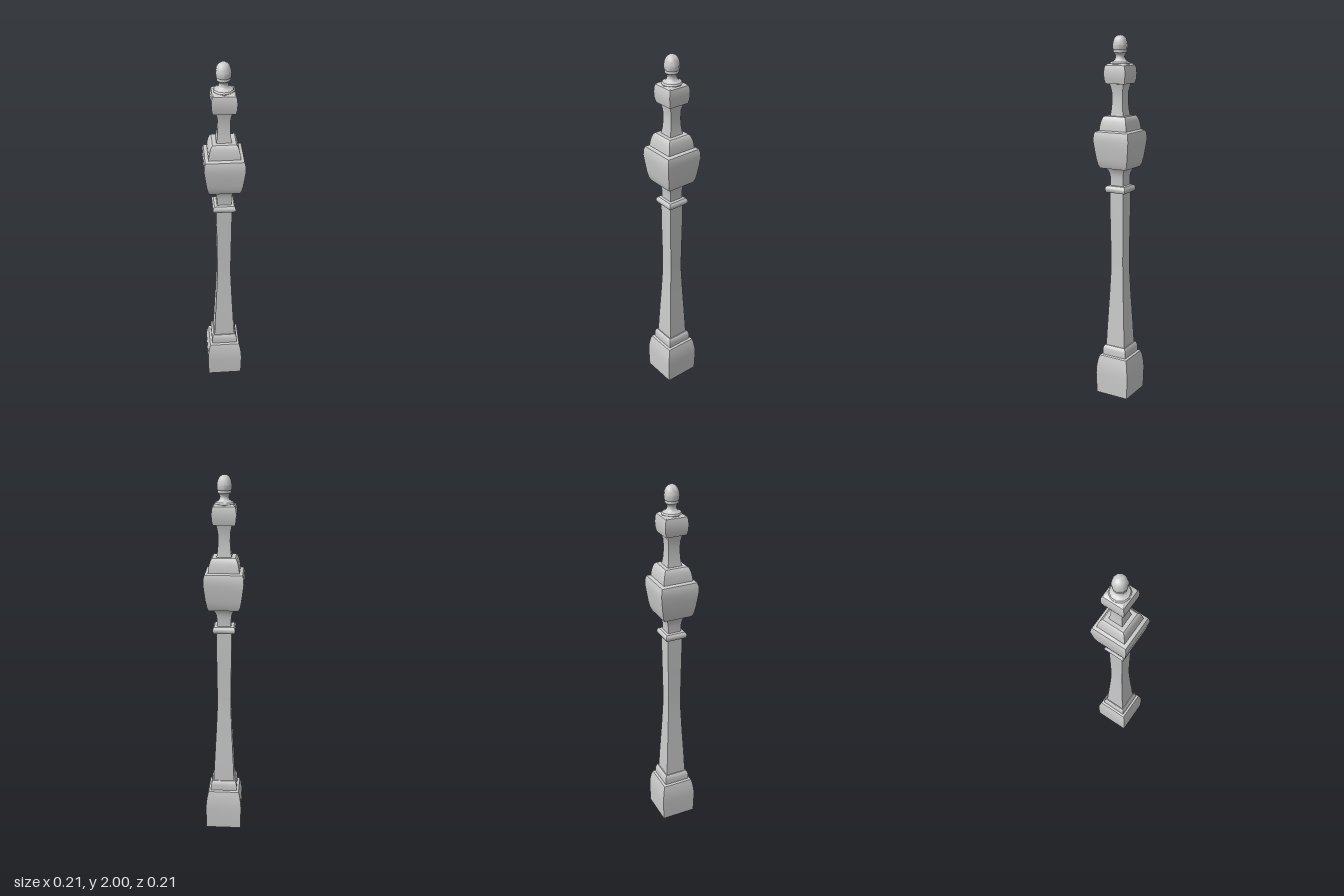
import * as THREE from 'three';
import { toCreasedNormals } from 'three/addons/utils/BufferGeometryUtils.js';

const material = new THREE.MeshStandardMaterial({ color: 0xcccccc, side: THREE.DoubleSide });

// Turns a profile of [half width, height] pairs, bottom to top
function turned(name, profile, sides, scale, phase) {
  const points = profile.map(([r, y]) => new THREE.Vector2(r * scale, y));
  const geometry = toCreasedNormals(new THREE.LatheGeometry(points, sides, phase), 0.65);
  const mesh = new THREE.Mesh(geometry, material);
  mesh.name = name;
  return mesh;
}

// Square section: four sides, half width measured to the flat
const square = (name, profile) => turned(name, profile, 4, Math.SQRT2, Math.PI / 4);
const round = (name, profile) => turned(name, profile, 10, 1, 0);

export function createModel() {
  const group = new THREE.Group();
  group.name = 'balusterPost';

  group.add(
    // Plinth, open underneath, with a small step above
    square('plinth', [[0.098, 0], [0.101, 0.12], [0.099, 0.16], [0.093, 0.2], [0.086, 0.226], [0.08, 0.23], [0.07, 0.23]]),
    square('plinthStep', [[0.073, 0.23], [0.073, 0.262], [0.068, 0.28], [0.063, 0.286], [0.055, 0.286]]),

    // Tapered shaft, slimmest near the middle
    square('shaft', [[0.058, 0.285], [0.053, 0.4], [0.044, 0.58], [0.038, 0.72], [0.037, 0.79], [0.039, 0.95], [0.041, 1.08], [0.041, 1.175]]),
    square('collar', [[0.04, 1.17], [0.054, 1.172], [0.06, 1.182], [0.061, 1.19], [0.059, 1.2], [0.052, 1.208], [0.038, 1.21]]),
    square('lowerNeck', [[0.038, 1.2], [0.038, 1.25], [0.041, 1.272], [0.048, 1.292], [0.057, 1.306]]),

    // Swelling block and the tier on top of it
    square('block', [[0.055, 1.304], [0.079, 1.307], [0.087, 1.325], [0.094, 1.36], [0.1, 1.405], [0.106, 1.455], [0.104, 1.485], [0.099, 1.503], [0.08, 1.51]]),
    square('blockTier', [[0.082, 1.508], [0.08, 1.53], [0.075, 1.555], [0.068, 1.576], [0.06, 1.584], [0.035, 1.584]]),
    square('upperNeck', [[0.039, 1.584], [0.034, 1.62], [0.031, 1.67], [0.033, 1.715], [0.041, 1.752]]),

    // Rounded cube under the finial
    square('head', [[0.04, 1.75], [0.057, 1.752], [0.062, 1.775], [0.064, 1.805], [0.062, 1.83], [0.058, 1.846], [0.046, 1.855], [0, 1.858]]),

    // Round finial: disc, stem and egg-shaped knob
    round('finialDisc', [[0.052, 1.846], [0.054, 1.856], [0.049, 1.864], [0.035, 1.869], [0.027, 1.878], [0.024, 1.89], [0.027, 1.9], [0.034, 1.907]]),
    round('finialKnob', [[0.028, 1.904], [0.036, 1.91], [0.037, 1.919], [0.035, 1.923], [0.039, 1.928], [0.04, 1.95], [0.037, 1.968], [0.031, 1.983], [0.022, 1.993], [0.011, 1.999], [0, 2]]),
  );
  return group;
}
